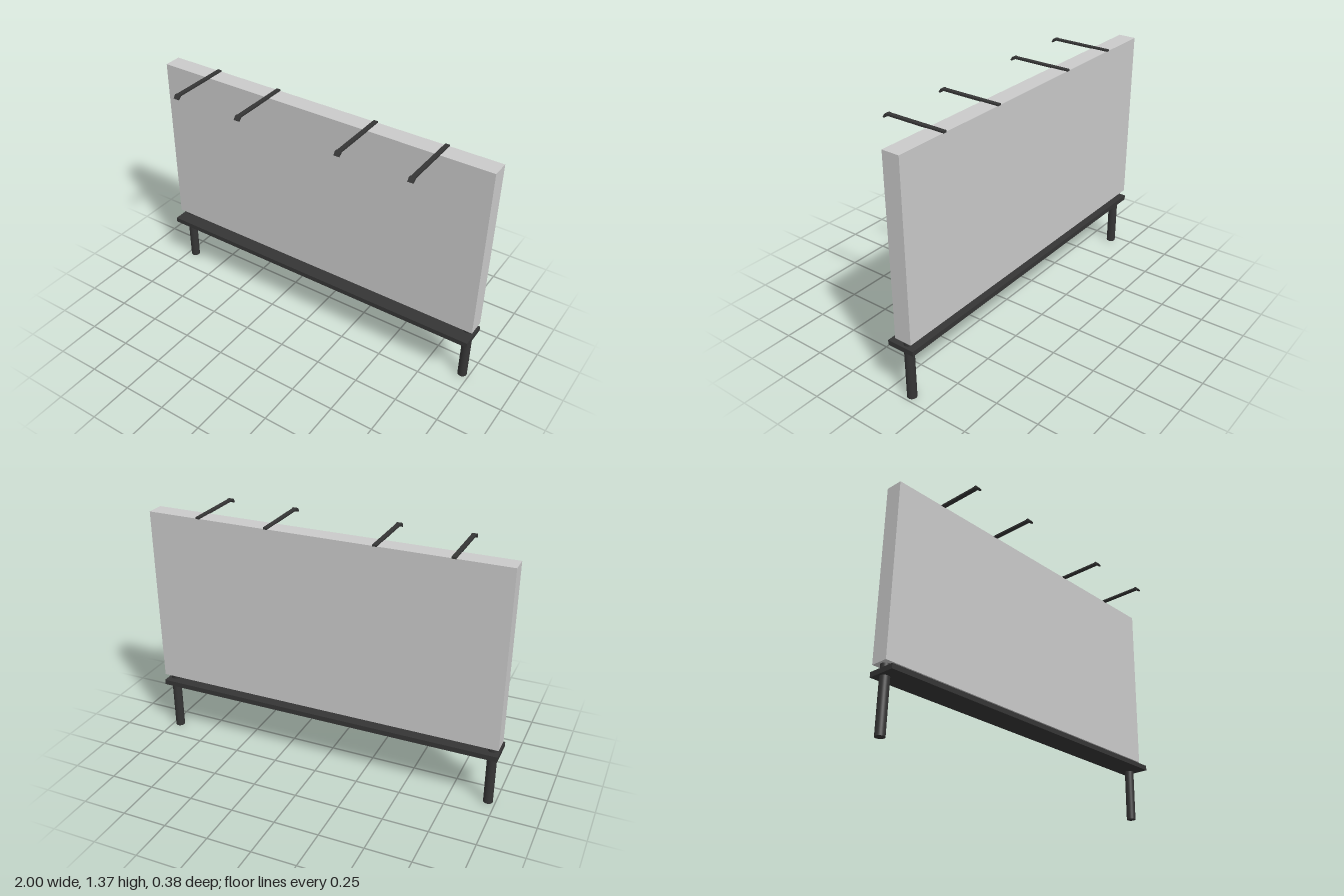
import * as THREE from 'three';

export function createModel() {
  const model = new THREE.Group();
  const material = (name, color) => {
    const m = new THREE.MeshStandardMaterial({ color });
    m.name = name;
    return m;
  };
  const grey = material('panel grey', 0xcacaca);
  const dark = material('dark metal', 0x353535);

  const add = (name, geometry, mat, x, y, z, parent = model) => {
    const mesh = new THREE.Mesh(geometry, mat);
    mesh.name = name;
    mesh.position.set(x, y, z);
    parent.add(mesh);
    return mesh;
  };

  // Display panel and the walkway beneath it
  add('panel', new THREE.BoxGeometry(2, 1, 0.1), grey, 0, 0.859, -0.129);
  add('walkway', new THREE.BoxGeometry(2, 0.028, 0.16), dark, 0, 0.311, -0.109);

  // Round support posts
  const postGeometry = new THREE.CylinderGeometry(0.026, 0.026, 0.359, 32);
  for (const side of [-1, 1]) {
    add(side > 0 ? 'leftPost' : 'rightPost', postGeometry, dark, side * 0.96, 0.1795, -0.129);
  }

  // Lamp head: side profile bent down at the end of the arm
  const profile = new THREE.Shape([
    [0.164, 1.357], [0.183, 1.343], [0.19, 1.349], [0.176, 1.367], [0.164, 1.367],
  ].map(([z, y]) => new THREE.Vector2(-z, y)));
  const headGeometry = new THREE.ExtrudeGeometry(profile, { depth: 0.03, bevelEnabled: false });
  headGeometry.translate(0, 0, -0.015).rotateY(Math.PI / 2);

  // Lamp arms reaching forward over the panel
  const armGeometry = new THREE.BoxGeometry(0.024, 0.01, 0.35);
  for (const x of [-0.7, -0.3, 0.3, 0.7]) {
    const lamp = new THREE.Group();
    lamp.name = 'lamp';
    lamp.position.x = x;
    add('lampArm', armGeometry, dark, 0, 1.362, -0.005, lamp);
    add('lampHead', headGeometry, dark, 0, 0, 0, lamp);
    model.add(lamp);
  }
  return model;
}
